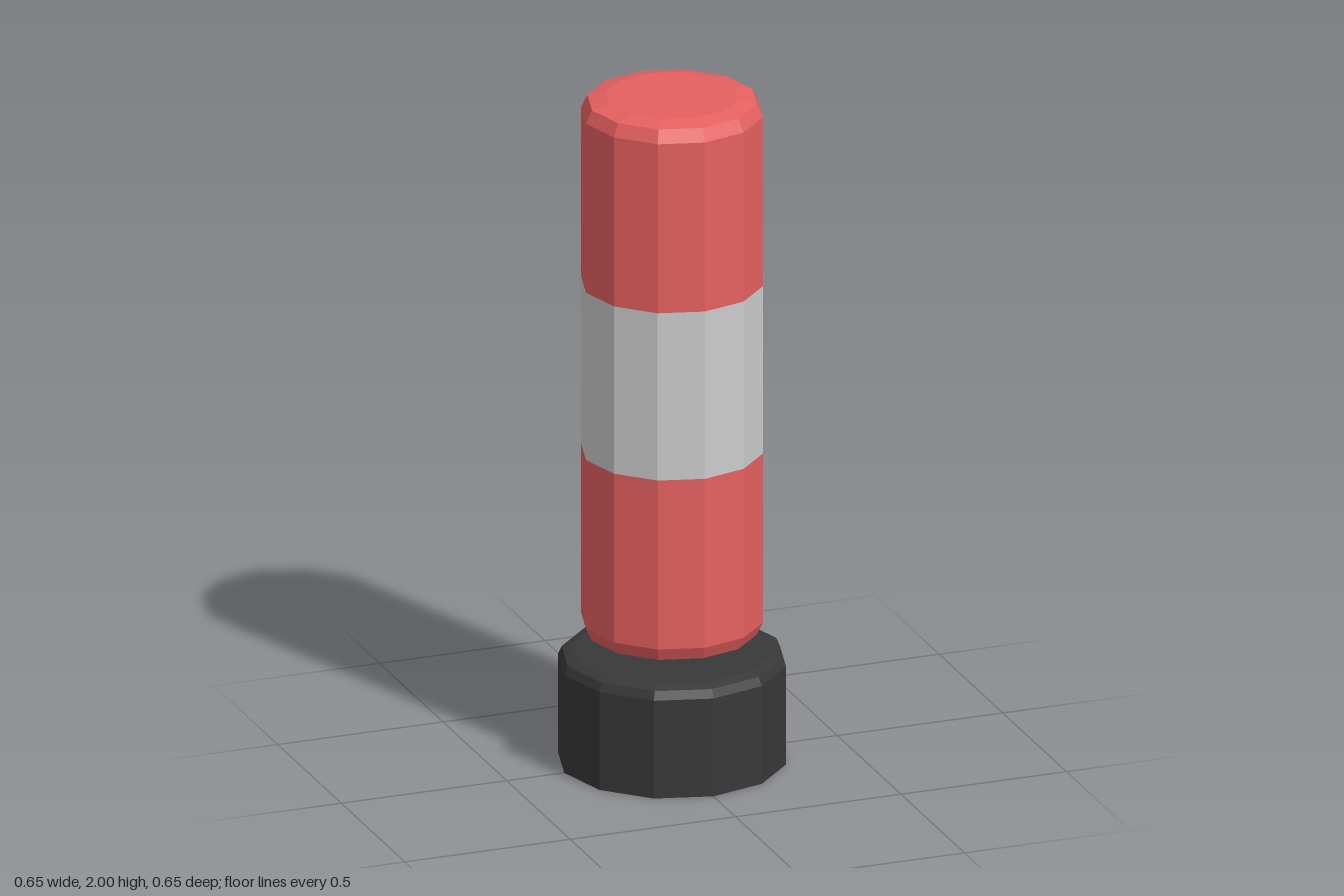
import * as THREE from 'three';

const SIDES = 12;
const red = new THREE.MeshStandardMaterial({ color: 0xe66060, flatShading: true });
const grey = new THREE.MeshStandardMaterial({ color: 0xcccccc, flatShading: true });
const black = new THREE.MeshStandardMaterial({ color: 0x383838, flatShading: true });

// Faceted solid of revolution; the profile is [radius, y] from bottom to top
function turned(name, profile, material) {
  const points = profile.map(([r, y]) => new THREE.Vector2(r, y));
  const mesh = new THREE.Mesh(new THREE.LatheGeometry(points, SIDES), material);
  mesh.name = name;
  return mesh;
}

export function createModel() {
  const group = new THREE.Group();
  group.name = 'trafficBollard';

  const R = 0.26;
  const bottom = 0.375, bandLow = 0.935, bandHigh = 1.44, top = 2;

  // Heavy foot with a bevelled upper rim
  group.add(turned('base', [
    [0, 0], [0.326, 0], [0.326, 0.295], [0.315, 0.32], [0.285, 0.33], [0, 0.33],
  ], black));

  // Short neck joining foot and post
  group.add(turned('neck', [[0.08, 0.32], [0.08, 0.39]], black));

  // Post: red, reflective band, red, with bevelled ends
  group.add(turned('lowerPost', [
    [0, bottom], [0.19, bottom], [0.242, bottom + 0.012], [R, bottom + 0.05], [R, bandLow],
  ], red));
  group.add(turned('reflectiveBand', [[R, bandLow], [R, bandHigh]], grey));
  group.add(turned('upperPost', [
    [R, bandHigh], [R, top - 0.05], [0.242, top - 0.012], [0.19, top], [0, top],
  ], red));

  return group;
}
